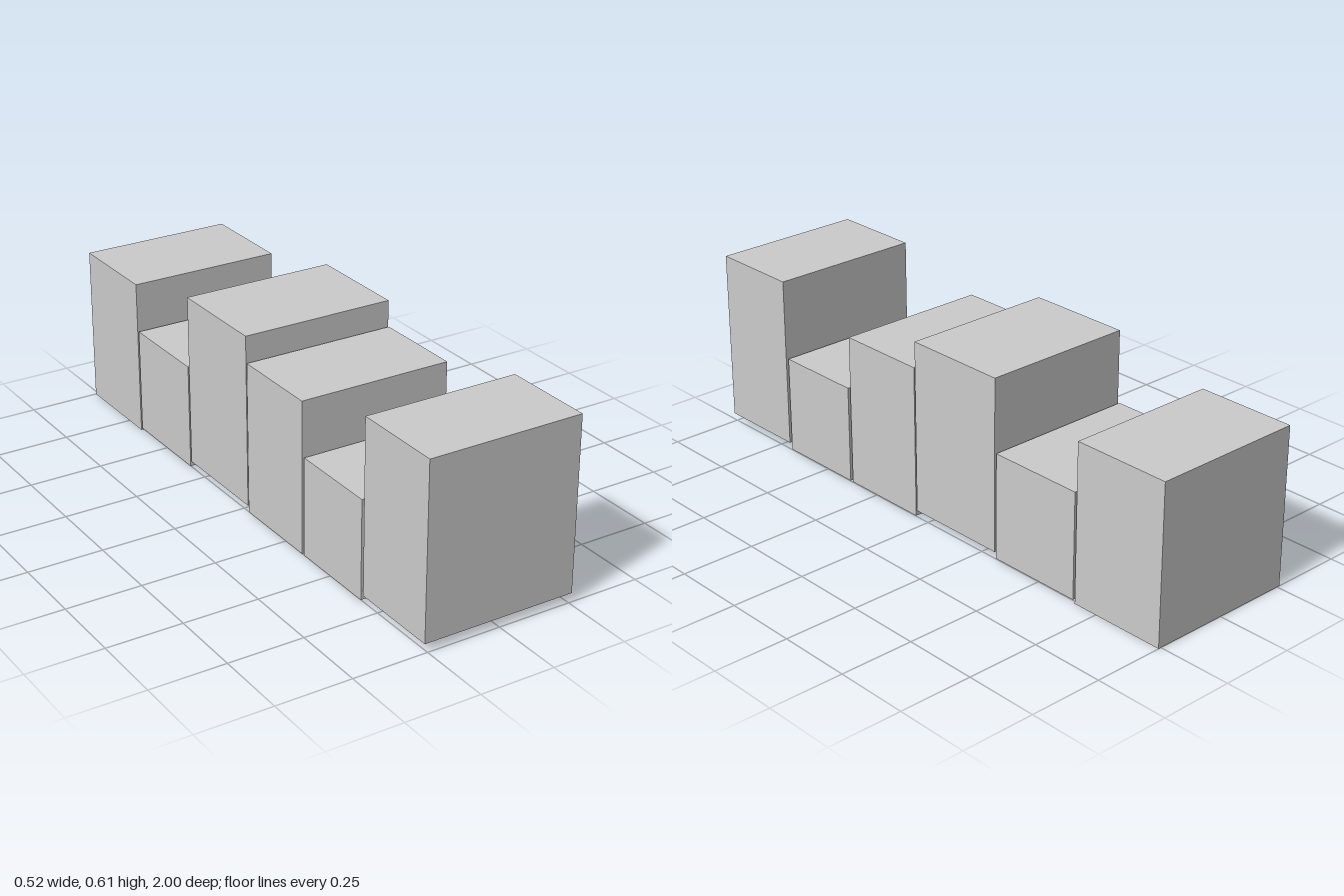
import * as THREE from 'three';

const WIDTH = 0.52;

// Row of blocks from front to back: [front z, back z, bottom y, top y]
const BLOCKS = [
  [1.0, 0.69, 0.03, 0.608],
  [0.678, 0.37, 0.01, 0.34],
  [0.358, 0.045, 0.01, 0.52],
  [0.04, -0.318, 0.03, 0.608],
  [-0.325, -0.656, 0.01, 0.365],
  [-0.664, -1.0, 0, 0.53],
];

export function createModel() {
  const group = new THREE.Group();
  group.name = 'blockRow';
  const material = new THREE.MeshStandardMaterial({ color: 0xcccccc, flatShading: true });

  BLOCKS.forEach(([front, back, bottom, top], i) => {
    const block = new THREE.Mesh(new THREE.BoxGeometry(WIDTH, top - bottom, front - back), material);
    block.position.set(0, (top + bottom) / 2, (front + back) / 2);
    block.name = `block${i + 1}`;
    group.add(block);
  });

  return group;
}
